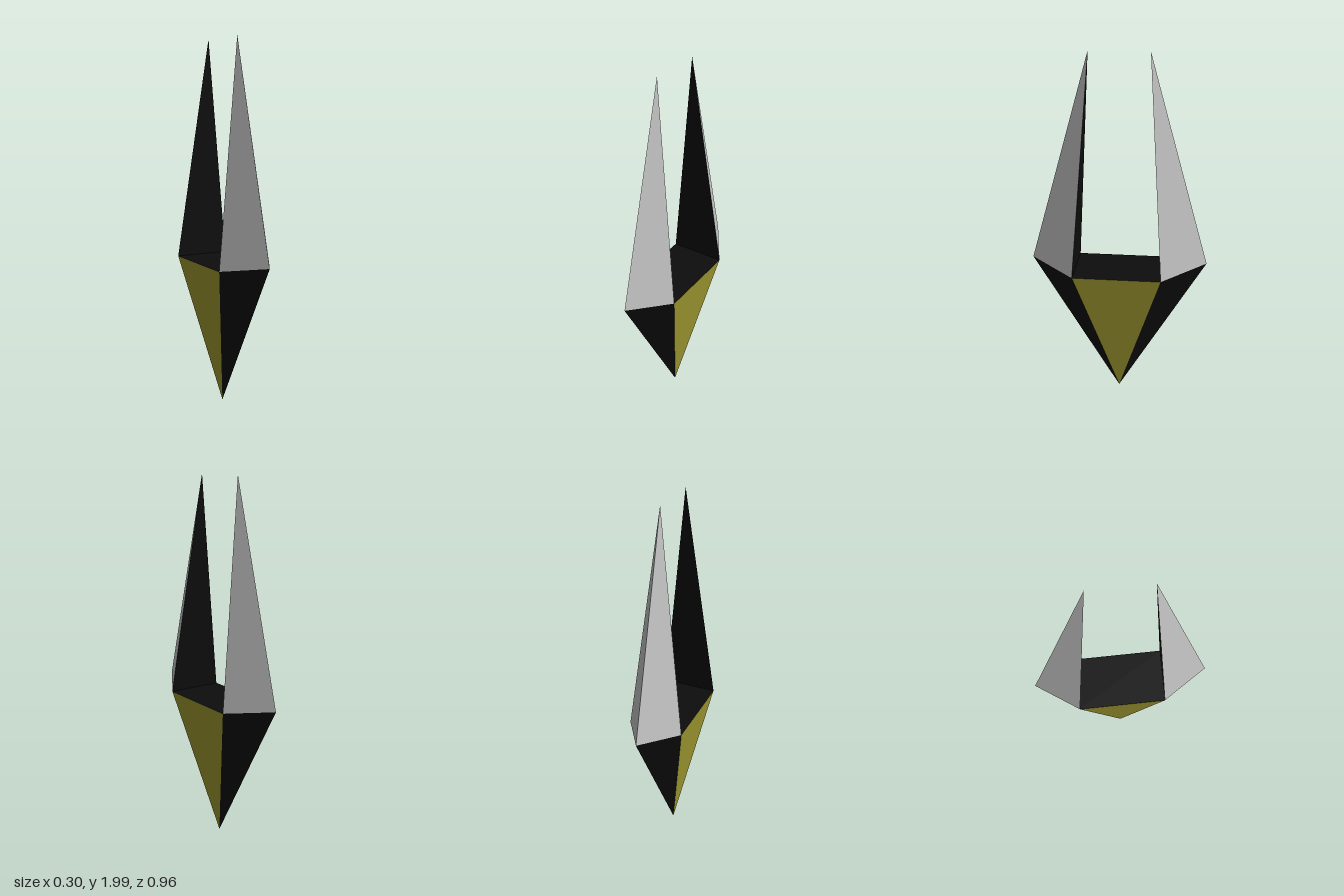
import * as THREE from 'three';

const material = (name, color) => {
  const m = new THREE.MeshStandardMaterial({ color });
  m.name = name;
  return m;
};

// Flat-faced mesh from a list of triangles, each three corner points
function facets(name, mat, triangles) {
  const geometry = new THREE.BufferGeometry();
  geometry.setAttribute('position', new THREE.Float32BufferAttribute(triangles.flat(2), 3));
  geometry.computeVertexNormals();
  const mesh = new THREE.Mesh(geometry, mat);
  mesh.name = name;
  return mesh;
}

export function createModel() {
  const silver = material('silver', 0xc4c4c4);
  const black = material('black', 0x0d0d0d);
  const gold = material('gold', 0xa39c32);

  // Corners of one half; the other half is the same turned about y
  const foot = [0, 0, 0];
  const left = [-0.15, 0.795, 0.236];
  const right = [0.15, 0.795, 0.244];
  const shoulder = [0, 0.84, 0.48];
  const tip = [0, 1.99, 0.155];
  const farLeft = [-right[0], right[1], -right[2]];
  const farRight = [-left[0], left[1], -left[2]];

  const model = new THREE.Group();
  model.name = 'twoProngedCrystal';
  ['front', 'back'].forEach((end, i) => {
    const half = new THREE.Group();
    half.name = `${end}Half`;
    half.rotation.y = i * Math.PI;
    half.add(
      // Tall pointed prong: bright outside, dark inside
      facets('prongOuterFaces', silver, [[left, shoulder, tip], [shoulder, right, tip]]),
      facets('prongInnerFace', black, [[right, left, tip]]),
      // Tapered base
      facets('baseEndFaces', black, [[left, foot, shoulder], [shoulder, foot, right]]),
      facets('baseSideFace', gold, [[right, foot, farRight]]),
      // Half of the flat floor between the prongs
      facets('floor', black, [[right, farRight, farLeft]])
    );
    model.add(half);
  });
  return model;
}
